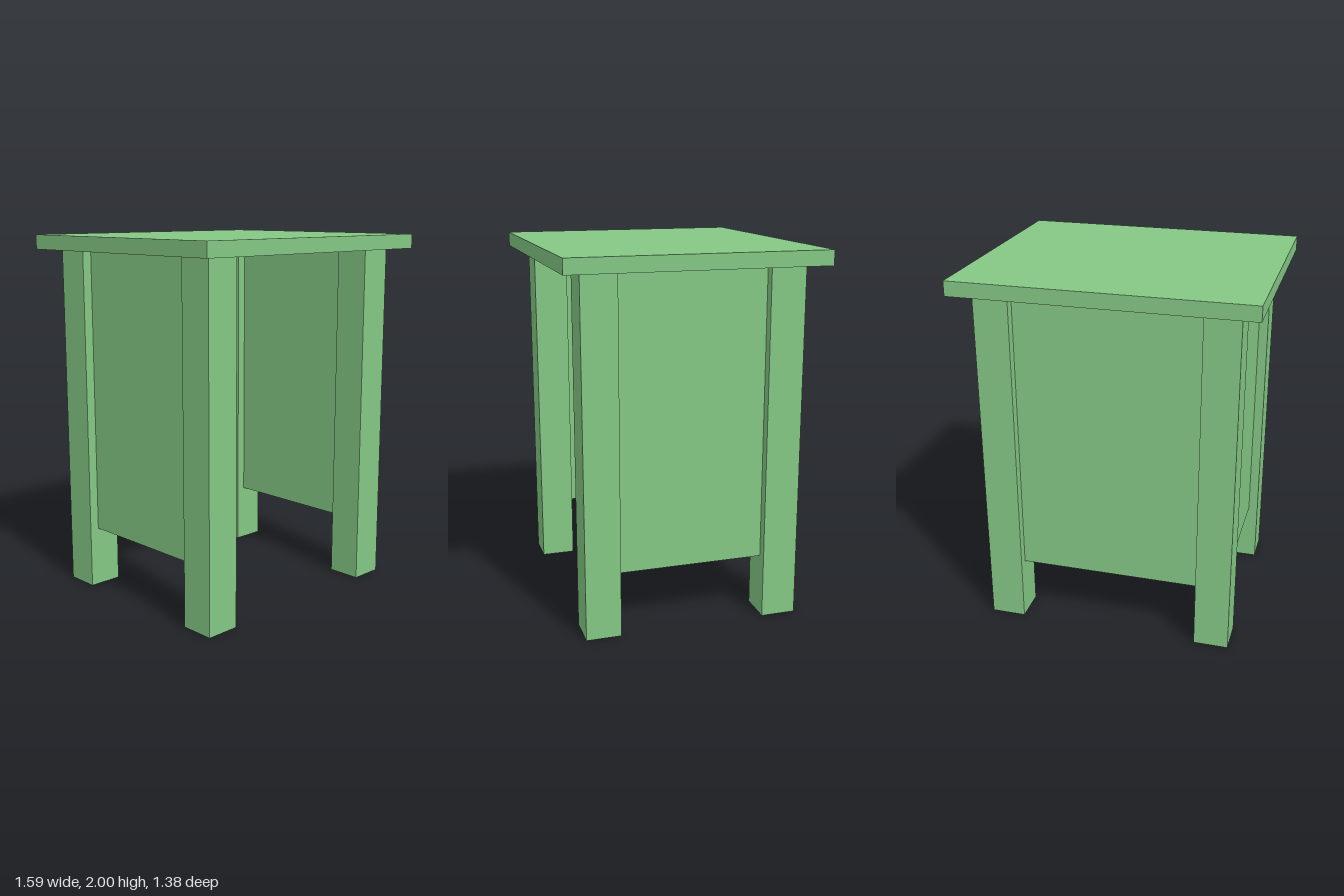
import * as THREE from 'three';

export function createModel() {
  const group = new THREE.Group();
  const green = new THREE.MeshStandardMaterial({ color: 0x85c885 });

  const addBox = (name, size, position) => {
    const mesh = new THREE.Mesh(new THREE.BoxGeometry(...size), green);
    mesh.name = name;
    mesh.position.set(...position);
    group.add(mesh);
  };

  const underside = 1.92; // bottom of the table top
  const panelBottom = 0.335;
  const panelHeight = underside - panelBottom;
  const panelY = (underside + panelBottom) / 2;
  const panelThickness = 0.085;
  const legX = 0.595, legZ = 0.495, legWidth = 0.19;

  // Overhanging slab
  addBox('tableTop', [1.585, 2 - underside, 1.38], [0, (2 + underside) / 2, 0]);

  // Square legs, with a side panel set midway between each front and back pair
  for (const [side, sx] of [['left', 1], ['right', -1]]) {
    for (const [end, sz] of [['Front', 1], ['Back', -1]]) {
      addBox(`${side}${end}Leg`, [legWidth, underside, legWidth], [sx * legX, underside / 2, sz * legZ]);
    }
    addBox(`${side}Panel`, [panelThickness, panelHeight, 2 * legZ - legWidth], [sx * legX, panelY, 0]);
  }

  // Back panel; the front stays open
  addBox('backPanel', [2 * legX - legWidth, panelHeight, panelThickness], [0, panelY, -legZ]);

  return group;
}
